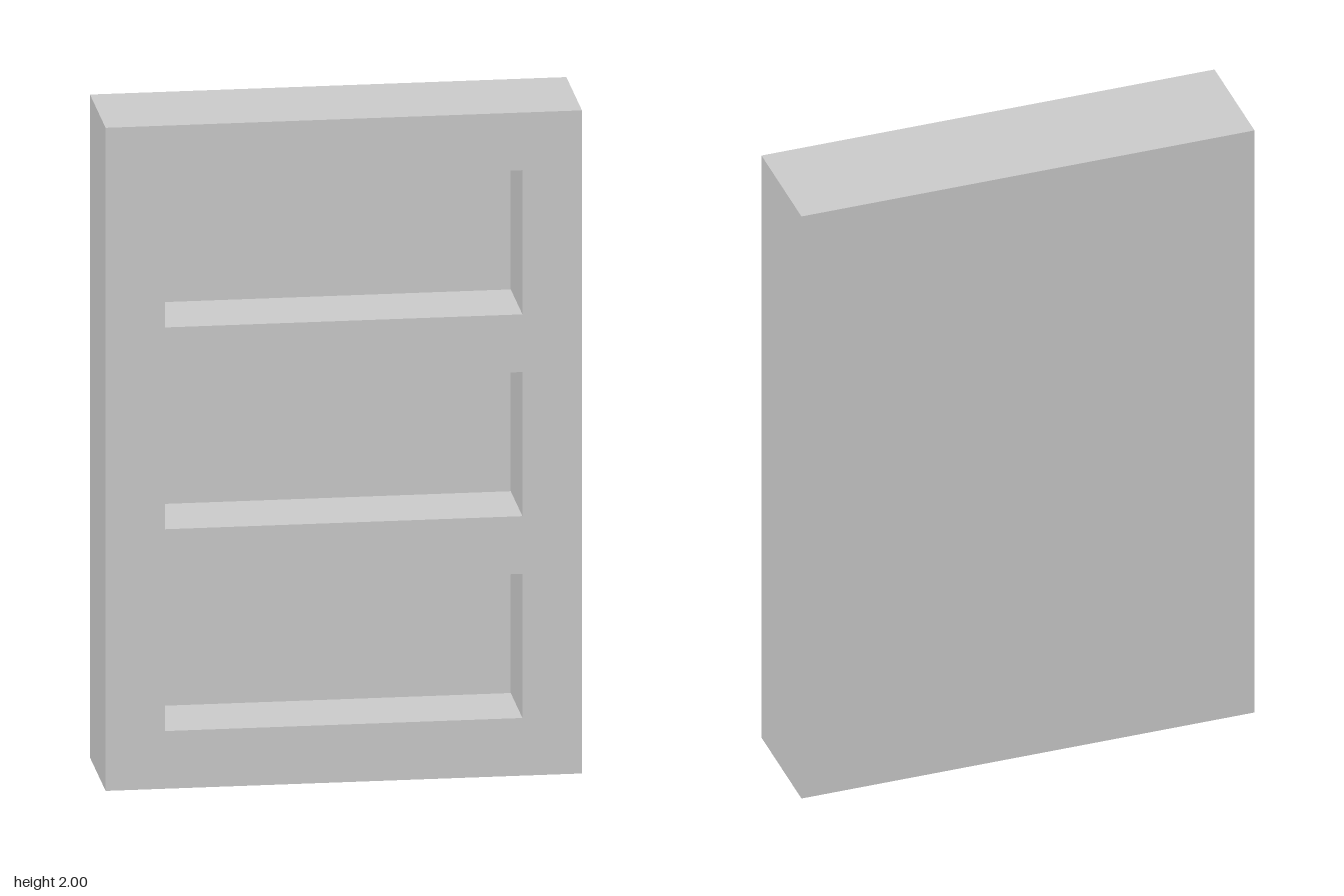
import * as THREE from 'three';

const U = 2 / 23; // module: all sizes are whole multiples of this
const W = 16 * U, H = 23 * U, D = 4 * U;
const OPEN_W = 12 * U, OPEN_H = 5 * U, OPEN_D = 3 * U, RAIL = 2 * U;

// Box without its +z face, its open rim lying at z = D / 2
function openBox(w, h, d, y) {
  const geo = new THREE.BoxGeometry(w, h, d);
  const index = Array.from(geo.index.array);
  index.splice(24, 6);
  geo.setIndex(index);
  geo.clearGroups();
  return geo.translate(0, y, (D - d) / 2);
}

// Turn a geometry inside out so its faces show from within
function turnInward(geo) {
  geo.setIndex(Array.from(geo.index.array).reverse());
  const n = geo.attributes.normal;
  for (let i = 0; i < n.count; i++) n.setXYZ(i, -n.getX(i), -n.getY(i), -n.getZ(i));
  return geo;
}

function rectPoints(w, h, y) {
  return [[-w, -h], [w, -h], [w, h], [-w, h]].map(([a, b]) => new THREE.Vector2(a / 2, y + b / 2));
}

export function createModel() {
  const group = new THREE.Group();
  group.name = 'bookcase';
  const material = new THREE.MeshStandardMaterial({ color: 0xcccccc });
  const add = (name, geo) => {
    const mesh = new THREE.Mesh(geo, material);
    mesh.name = name;
    group.add(mesh);
  };

  // Outer case: sides, top, bottom and back
  add('outerCase', openBox(W, H, D, H / 2));

  // Front frame with three openings, each leading into a compartment
  const frame = new THREE.Shape(rectPoints(W, H, H / 2));
  for (let i = 0; i < 3; i++) {
    const y = RAIL + OPEN_H / 2 + i * (OPEN_H + RAIL);
    frame.holes.push(new THREE.Path(rectPoints(OPEN_W, OPEN_H, y).reverse()));
    add(`compartment${i + 1}`, turnInward(openBox(OPEN_W, OPEN_H, OPEN_D, y)));
  }
  add('frontFrame', new THREE.ShapeGeometry(frame).translate(0, 0, D / 2));

  return group;
}
